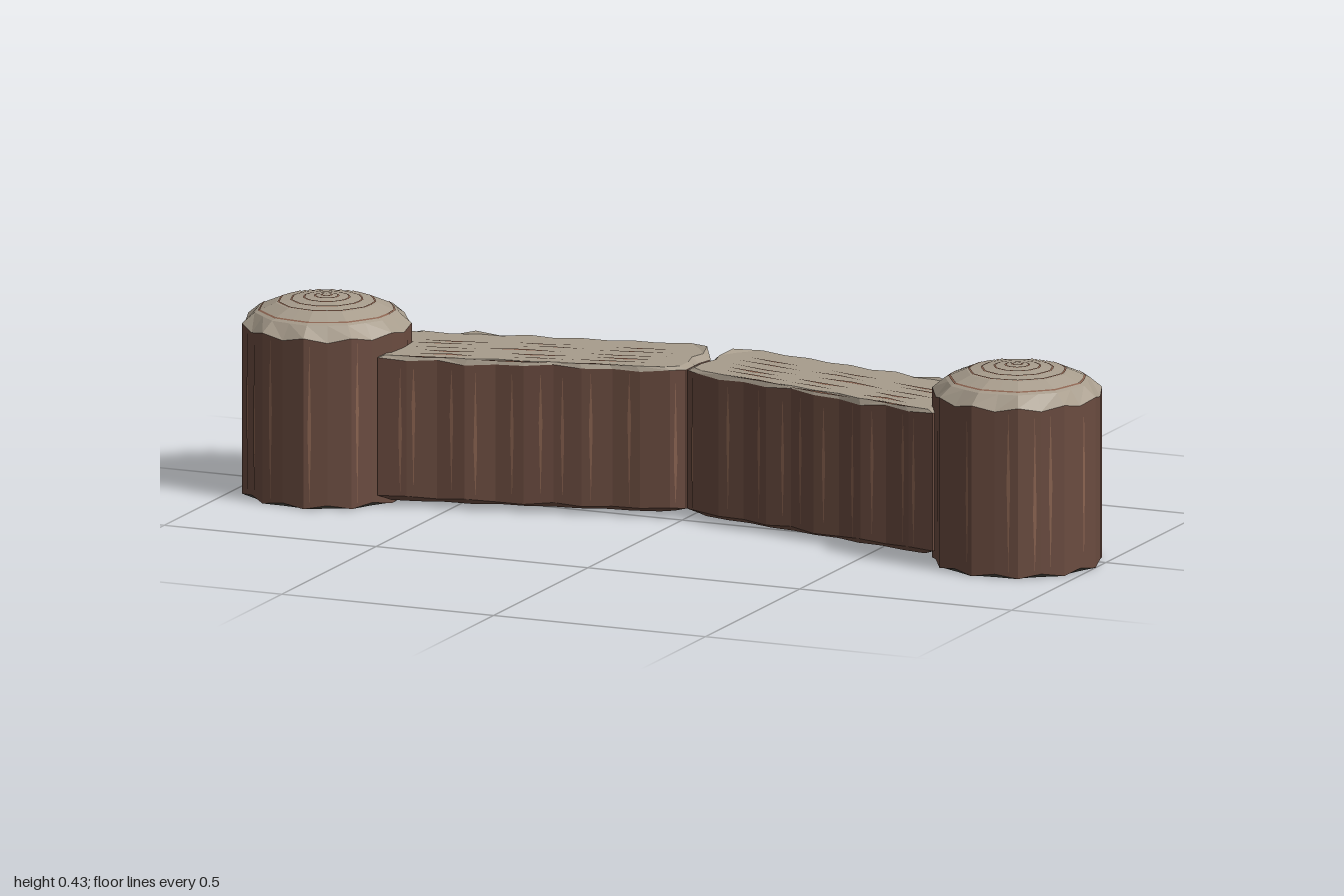
import * as THREE from 'three';

const BARK = 0x6b4c40, STREAK = 0x8a6350, WOOD = 0xa89d8d, UNDER = 0x4d4b44;

// Small seeded generator, so both halves come out alike
function seeded(seed) {
  return () => {
    seed = (seed * 16807) % 2147483647;
    return seed / 2147483647;
  };
}

// Flat-shaded mesh from triangles; side = -1 mirrors it in x
function facets(name, tris, color, side) {
  const pos = [];
  for (const t of tris) {
    const order = side > 0 ? t : [t[0], t[2], t[1]];
    for (const p of order) pos.push(p[0] * side, p[1], p[2]);
  }
  const geo = new THREE.BufferGeometry();
  geo.setAttribute('position', new THREE.Float32BufferAttribute(pos, 3));
  geo.computeVertexNormals();
  const mesh = new THREE.Mesh(geo, new THREE.MeshStandardMaterial({ color, flatShading: true, roughness: 0.9 }));
  mesh.name = name;
  return mesh;
}

// Skin between successive loops, listed from bottom to top
function loft(loops) {
  const tris = [];
  for (let k = 0; k + 1 < loops.length; k++) {
    const lo = loops[k], hi = loops[k + 1], n = lo.length;
    for (let i = 0; i < n; i++) {
      const j = (i + 1) % n;
      tris.push([lo[i], hi[i], lo[j]], [lo[j], hi[i], hi[j]]);
    }
  }
  return tris;
}

// Outline [x, z] scaled about a centre and set at a height
const loopAt = (outline, c, s, y) => outline.map(([x, z], i) =>
  [c[0] + (x - c[0]) * s, typeof y === 'function' ? y(i) : y, c[1] + (z - c[1]) * s]);

// Tapered vertical grooves lying on the bark faces
function barkStreaks(outline, y0, y1, rand) {
  const tris = [];
  outline.forEach((p, i) => {
    const q = outline[(i + 1) % outline.length];
    const dx = q[0] - p[0], dz = q[1] - p[1], len = Math.hypot(dx, dz);
    if (rand() < 0.4 || len < 0.03) return;
    const t = 0.2 + rand() * 0.6, w = 0.004 / len, ym = y0 + (y1 - y0) * (0.3 + rand() * 0.4);
    const at = (f, y) => [p[0] + dx * f + dz / len * 0.0015, y, p[1] + dz * f - dx / len * 0.0015];
    const b = at(t, y0), l = at(t - w, ym), u = at(t, y1), r = at(t + w, ym);
    tris.push([b, u, r], [b, l, u]);
  });
  return tris;
}

// Round end post with a domed, ringed top
function buildPost(side) {
  const g = new THREE.Group();
  g.name = side > 0 ? 'leftPost' : 'rightPost';
  const rand = seeded(77), c = [0.815, 0.054], n = 22;
  const outline = [];
  for (let i = 0; i < n; i++) {
    const a = i / n * Math.PI * 2, r = i % 2 ? 0.178 + rand() * 0.005 : 0.185;
    outline.push([c[0] + r * Math.cos(a), c[1] + r * Math.sin(a)]);
  }
  const low = loopAt(outline, c, 1, i => i % 2 ? 0.008 : 0);
  const rim = loopAt(outline, c, 1, i => i % 2 ? 0.367 : 0.377);
  g.add(facets('postBark', loft([low, rim]), BARK, side));
  g.add(facets('postBase', loft([loopAt(outline, c, 0, 0), loopAt(outline, c, 0.96, 0), low]), UNDER, side));
  g.add(facets('postStreaks', barkStreaks(outline, 0.008, 0.368, rand), STREAK, side));

  // Cap profile: [scale, height]
  const profile = [[0.85, 0.4], [0.6, 0.42], [0.3, 0.428], [0, 0.434]];
  g.add(facets('postTop', loft([rim, ...profile.map(([s, y]) => loopAt(outline, c, s, y))]), WOOD, side));

  // Growth rings follow the dome
  const heightAt = s => {
    const k = profile.findIndex(p => p[0] <= s);
    const [s1, y1] = profile[k], [s0, y0] = profile[k - 1];
    return y0 + (y1 - y0) * (s - s0) / (s1 - s0);
  };
  const rings = [];
  for (const s of [0.06, 0.14, 0.27, 0.42, 0.57, 0.8]) {
    rings.push(...loft([s + 0.012, s - 0.012].map(v => loopAt(outline, c, v, heightAt(v) + 0.0012))));
  }
  g.add(facets('growthRings', rings, STREAK, side));
  return g;
}

// Split log running from the post to the middle
function buildLog(side) {
  const g = new THREE.Group();
  g.name = side > 0 ? 'leftLog' : 'rightLog';
  const rand = seeded(4321), c = [0.34, -0.03], outline = [];
  // Wavy long edge between two points
  const edge = (a, b, n, wave) => {
    for (let i = 0; i <= n; i++) {
      const t = i / n, off = i === 0 || i === n ? 0 : (i % 2 ? wave : -wave) * (0.4 + rand() * 0.6);
      outline.push([a[0] + (b[0] - a[0]) * t, a[1] + (b[1] - a[1]) * t + off]);
    }
  };
  edge([0.655, 0.143], [0.03, -0.003], 10, 0.006);
  outline.push([0.002, -0.025], [0.001, -0.07], [0.014, -0.12], [0.004, -0.16], [0.03, -0.2]);
  edge([0.085, -0.24], [0.72, -0.09], 11, 0.008);

  const low = loopAt(outline, c, 1, () => 0.015 + rand() * 0.01);
  const rim = loopAt(outline, c, 1, i => i > 14 ? 0.322 + rand() * 0.02 : 0.32 + rand() * 0.01);
  const topY = 0.334;
  const inset = loopAt(outline, c, 0.955, topY);
  g.add(facets('logBark', loft([loopAt(outline, c, 0.92, 0.013), low, rim]), BARK, side));
  g.add(facets('logTop', loft([rim, inset, loopAt(outline, c, 0, topY)]), WOOD, side));
  g.add(facets('logUnderside', loft([loopAt(outline, c, 0, 0.013), loopAt(outline, c, 0.92, 0.013)]), UNDER, side));
  g.add(facets('logStreaks', barkStreaks(outline, 0.025, 0.318, rand), STREAK, side));

  // Wood grain: slim bent slivers along the log
  const grain = [], y = topY + 0.0015;
  for (let row = 0; row < 6; row++) {
    for (let k = 0; k < 3; k++) {
      const x = 0.07 + k * 0.19 + rand() * 0.05, len = 0.1 + rand() * 0.08;
      const v = -0.185 + row * 0.035 + rand() * 0.012, w = 0.003 + rand() * 0.004, bend = (rand() - 0.5) * 0.016;
      const pt = (f, d) => [x + len * f, y, v + (x + len * f) * 0.236 + d];
      const a = pt(0, 0), b = pt(0.5, bend - w), d = pt(1, 0), e = pt(0.55, bend + w);
      grain.push([a, e, b], [b, e, d]);
    }
  }
  g.add(facets('woodGrain', grain, STREAK, side));
  return g;
}

export function createModel() {
  const model = new THREE.Group();
  model.name = 'logBarrier';
  for (const side of [1, -1]) model.add(buildPost(side), buildLog(side));
  return model;
}
